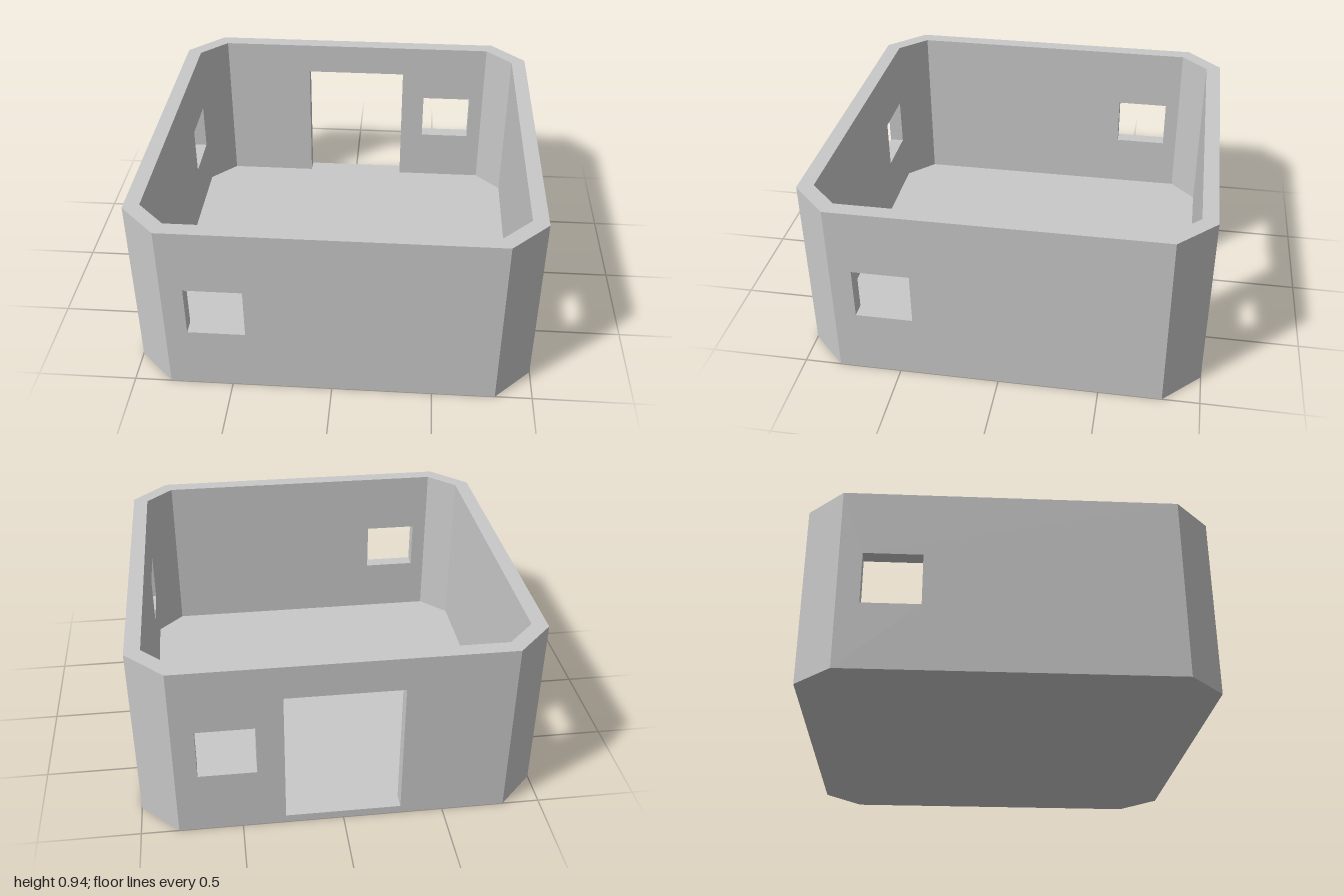
import * as THREE from 'three';

const HEIGHT = 0.935, FLOOR = 0.04, THICK = 0.077;
const HALF = 1, FLAT = 0.815; // half width, half length of the straight walls
const MITRE = THICK * Math.tan(Math.PI / 8);

const plaster = new THREE.MeshStandardMaterial({ color: 0xc8c8c8 });

// Square with cut corners
function octagon(h, f, Type = THREE.Shape) {
  return new Type([[f, h], [-f, h], [-h, f], [-h, -f], [-f, -h], [f, -h], [h, -f], [h, f]]
    .reverse().map(([x, y]) => new THREE.Vector2(x, y)));
}

function rect(x0, x1, y0, y1, Type = THREE.Shape) {
  return new Type([[x0, y0], [x1, y0], [x1, y1], [x0, y1]].map(([x, y]) => new THREE.Vector2(x, y)));
}

// Wall panel with mitred ends and openings; its hidden outer rim is left out
function wallPanel(half, distance, openings) {
  const shape = rect(-half, half, 0, HEIGHT);
  for (const o of openings) shape.holes.push(rect(...o, THREE.Path));
  const solid = new THREE.ExtrudeGeometry(shape, { depth: THICK, bevelEnabled: false });
  const p = solid.attributes.position;
  for (let i = 0; i < p.count; i++) {
    const x = p.getX(i);
    if (p.getZ(i) < THICK / 2 && Math.abs(x) > half - 1e-4) p.setX(i, Math.sign(x) * (half - MITRE));
  }
  const rim = solid.groups[1].start; // four rim quads come first among the sides
  const kept = [...p.array.slice(0, rim * 3), ...p.array.slice((rim + 24) * 3)];
  const geometry = new THREE.BufferGeometry();
  geometry.setAttribute('position', new THREE.Float32BufferAttribute(kept, 3));
  geometry.computeVertexNormals();
  return geometry.translate(0, 0, distance - THICK);
}

export function createModel() {
  const model = new THREE.Group();
  model.name = 'openRoom';
  const add = (name, geometry) => {
    const mesh = new THREE.Mesh(geometry, plaster);
    mesh.name = name;
    model.add(mesh);
    return mesh;
  };

  // Four walls, each with a window, and a doorway at the back
  const windowHole = [-0.705, -0.42, 0.335, 0.6];
  const doorHole = [-0.287, 0.287, FLOOR, 0.76];
  ['frontWall', 'leftWall', 'backWall', 'rightWall'].forEach((name, i) => {
    const openings = name === 'backWall' ? [windowHole, doorHole] : [windowHole];
    add(name, wallPanel(FLAT, HALF, openings)).rotation.y = i * Math.PI / 2;
  });

  // Diagonal corner walls
  const cornerHalf = (HALF - FLAT) / Math.SQRT2;
  const cornerDistance = (HALF + FLAT) / Math.SQRT2;
  for (let i = 0; i < 4; i++) {
    add('cornerWall', wallPanel(cornerHalf, cornerDistance, [])).rotation.y = Math.PI / 4 + i * Math.PI / 2;
  }

  // Top edge, floor and underside
  const inner = [HALF - THICK, FLAT - MITRE];
  const top = octagon(HALF, FLAT);
  top.holes.push(octagon(...inner, THREE.Path));
  add('wallTop', new THREE.ShapeGeometry(top).rotateX(-Math.PI / 2).translate(0, HEIGHT, 0));
  add('floor', new THREE.ShapeGeometry(octagon(...inner)).rotateX(-Math.PI / 2).translate(0, FLOOR, 0));
  add('underside', new THREE.ShapeGeometry(octagon(HALF, FLAT)).rotateX(Math.PI / 2));

  // Sill of the doorway, level with the floor
  const sill = new THREE.PlaneGeometry(0.574, THICK).rotateX(-Math.PI / 2);
  add('doorSill', sill.translate(0, FLOOR, -HALF + THICK / 2)).visible = false;
  model.remove(model.getObjectByName('doorSill')); // the wall's own reveal already forms it
  return model;
}
